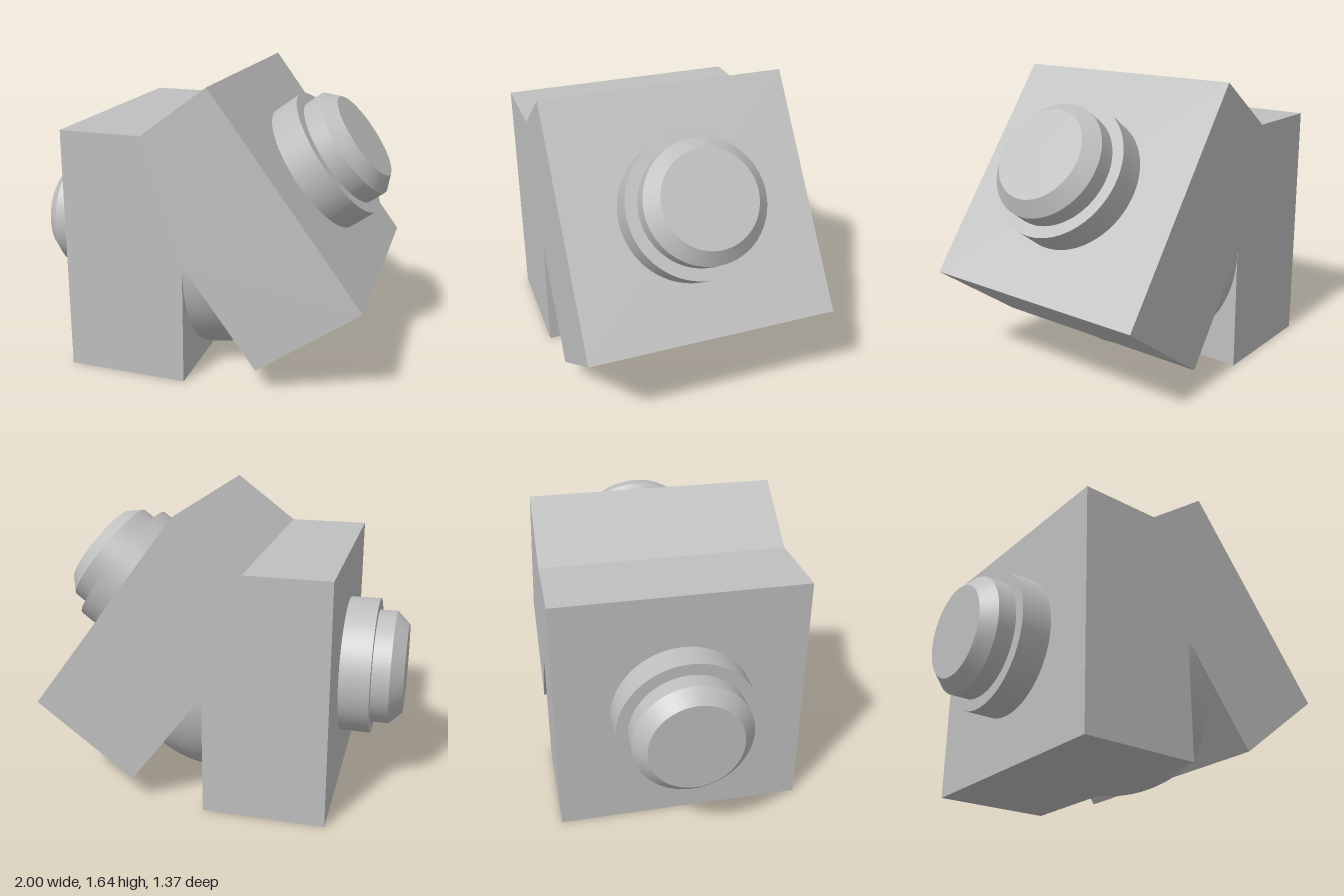
import * as THREE from 'three';

const TILT = 0.644;              // angle of the swung half
const PIVOT = [0.02, 0.685];     // hinge point in x, y
const DEPTH = 1.37;
const HALF = 0.684;              // thickness of each half

export function createModel() {
  const model = new THREE.Group();
  model.name = 'swivelJoint';
  const grey = new THREE.MeshStandardMaterial({ color: 0xbfbfbf });
  grey.name = 'plain grey';

  const add = (name, geometry, parent = model) => {
    const mesh = new THREE.Mesh(geometry, grey);
    mesh.name = name;
    parent.add(mesh);
    return mesh;
  };

  // Body: an upright block merged with a tilted one, with a notch below the hinge
  const outline = new THREE.Shape([
    [-0.66, 0], [0.02, 0], PIVOT, [0.43, 0.14],
    [0.98, 0.55], [0.16, 1.64], [-0.2, 1.37], [-0.66, 1.37],
  ].map(([x, y]) => new THREE.Vector2(x, y)));
  const body = new THREE.ExtrudeGeometry(outline, { depth: DEPTH, bevelEnabled: false });
  body.translate(0, 0, -DEPTH / 2);
  add('body', body);

  // Ball wedge showing in the notch, with its poles along z
  const ball = new THREE.SphereGeometry(0.684, 24, 64, Math.PI / 2, TILT);
  ball.rotateX(Math.PI / 2);
  add('ballJoint', ball).position.set(...PIVOT, 0);

  // Stepped round connectors, one on the outer face of each half
  const sections = [
    ['collar', 0.39, 0.39, 0, 0.17],
    ['neck', 0.325, 0.325, 0.17, 0.27],
    ['chamferedTip', 0.255, 0.325, 0.27, 0.342],
  ];
  for (const [name, angle] of [['rightConnector', Math.PI], ['leftConnector', TILT]]) {
    const connector = new THREE.Group();
    connector.name = name;
    connector.position.set(...PIVOT, 0);
    connector.rotation.z = angle;
    for (const [part, top, bottom, from, to] of sections) {
      const geometry = new THREE.CylinderGeometry(top, bottom, to - from, 64);
      geometry.rotateZ(-Math.PI / 2);
      geometry.translate(HALF + (from + to) / 2, 0, 0);
      add(part, geometry, connector);
    }
    model.add(connector);
  }
  return model;
}
